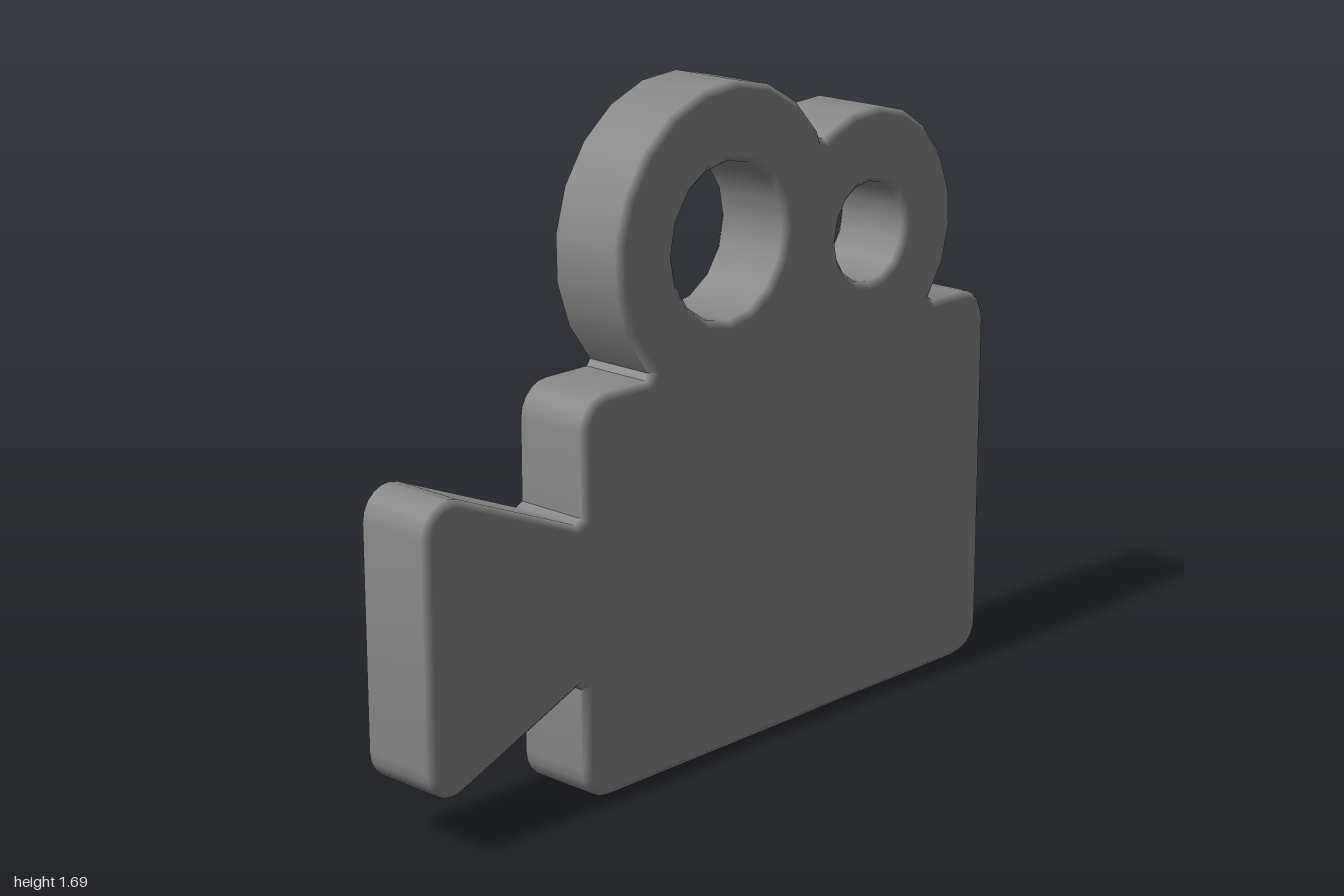
import * as THREE from 'three';
import { toCreasedNormals } from 'three/addons/utils/BufferGeometryUtils.js';

const BEVEL = 0.018, DEPTH = 0.23;

// Points along an arc, from angle a0 to a1 (radians)
function arc(cx, cy, r, a0, a1, n) {
  return Array.from({ length: n + 1 }, (_, i) => {
    const a = a0 + (a1 - a0) * i / n;
    return new THREE.Vector2(cx + r * Math.cos(a), cy + r * Math.sin(a));
  });
}

// Round reel opening, wound clockwise
function hole(cx, cy, r, n) {
  return new THREE.Path(arc(cx, cy, r, Math.PI / 2, -1.5 * Math.PI, n).slice(0, -1));
}

// Flat faces and upright walls, with the rim shaded as a soft round between them
function softenRims(geometry) {
  const { position, normal } = geometry.attributes;
  const n = new THREE.Vector3();
  for (let i = 0; i < position.count; i++) {
    const z = position.getZ(i);
    if (Math.abs(z) > DEPTH / 2 - BEVEL / 2) n.set(0, 0, Math.sign(z));
    else n.fromBufferAttribute(normal, i).setZ(0).normalize();
    normal.setXYZ(i, n.x, n.y, n.z);
  }
  return geometry;
}

export function createModel() {
  const group = new THREE.Group();
  group.name = 'movieCamera';
  const P = Math.PI, r = 0.085, top = 1.015, tilt = 0.385;

  // One counter-clockwise silhouette: body, two film reels and lens hood
  const outline = [
    ...arc(-0.5 + r, r, r, P, 1.5 * P, 5),                // body, bottom left corner
    ...arc(1 - r, r, r, -P / 2, 0, 5),                    // body, bottom right corner
    ...arc(1 - r, top - r, r, 0, P / 2, 5),               // body, top right corner
    new THREE.Vector2(0.79, top),                         // small fillet
    ...arc(0.533, 1.24, 0.32, -0.72, 2.1, 9),             // small reel
    new THREE.Vector2(0.355, 1.504),                      // valley between the reels
    new THREE.Vector2(0.338, 1.51),
    ...arc(0.01, 1.305, 0.39, 0.6, 3.92, 11),             // large reel
    new THREE.Vector2(-0.28, top),                        // small fillet
    ...arc(-0.5 + r, top - r, r, P / 2, P, 5),            // body, top left corner
    new THREE.Vector2(-0.5, 0.725),
    new THREE.Vector2(-0.52, 0.714),
    ...arc(-0.92, 0.79, 0.08, P / 2 - tilt, P, 6),        // lens hood, upper corner
    ...arc(-0.92, 0.23, 0.08, P, 1.5 * P + tilt, 6),      // lens hood, lower corner
    new THREE.Vector2(-0.52, 0.306),
    new THREE.Vector2(-0.5, 0.295),
  ];
  const shape = new THREE.Shape(outline);
  shape.holes.push(hole(0.007, 1.305, 0.197, 16), hole(0.53, 1.24, 0.13, 16));

  // Extruded plate with softened rims
  const geometry = new THREE.ExtrudeGeometry(shape, {
    depth: DEPTH - 2 * BEVEL,
    bevelThickness: BEVEL,
    bevelSize: BEVEL,
    bevelOffset: -BEVEL,
    bevelSegments: 1,
  });
  geometry.translate(0, 0, BEVEL - DEPTH / 2);

  const mesh = new THREE.Mesh(
    softenRims(toCreasedNormals(geometry, 0.9)),
    new THREE.MeshStandardMaterial({ color: 0x878787 })
  );
  mesh.name = 'cameraPlate';
  group.add(mesh);
  return group;
}
